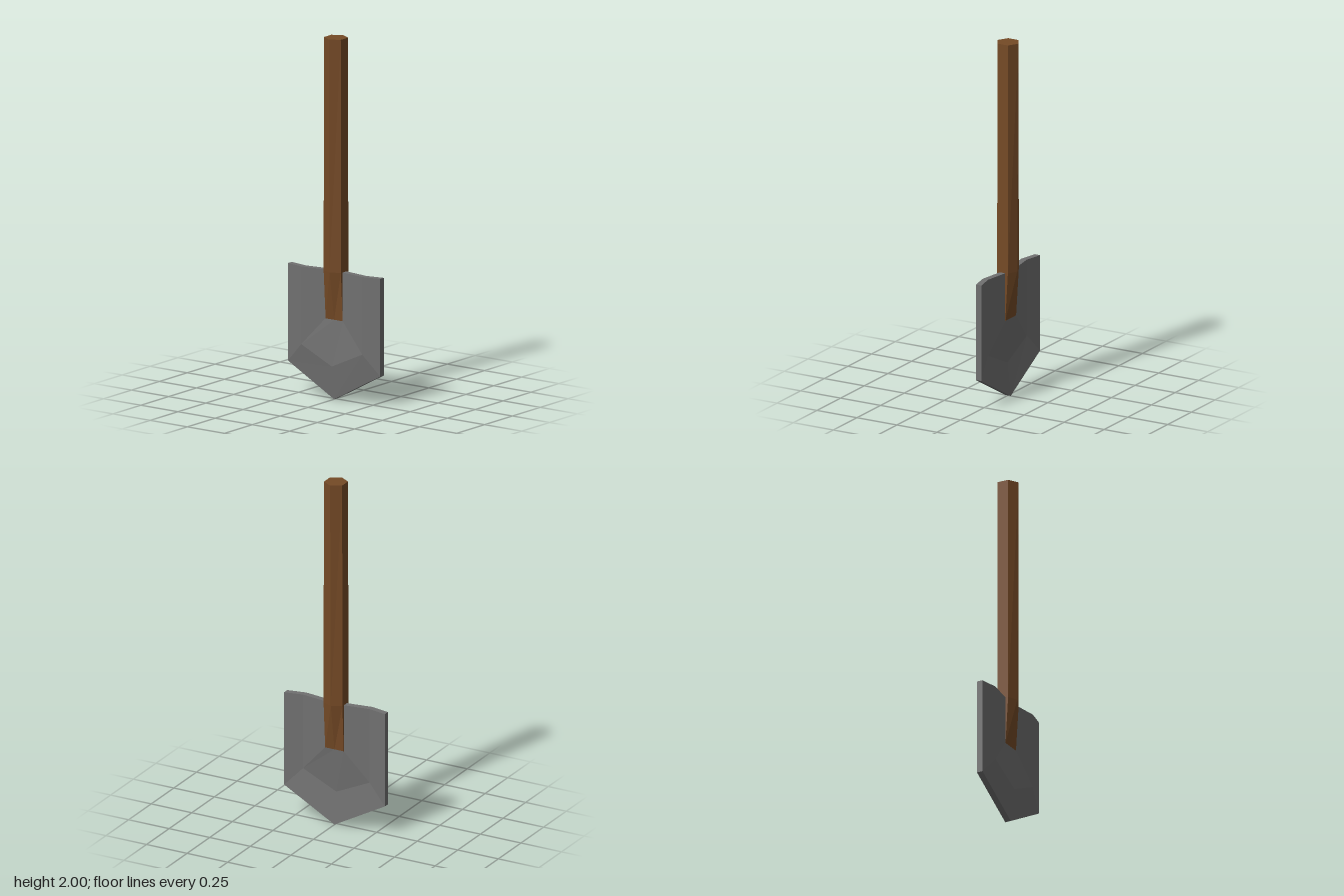
import * as THREE from 'three';

// Blade: half outline points (front skin, mirrored to the other side)
const THICK = 0.034, Z_BACK = -0.018;
const P = [
  [0.058, 0.71, 0], [0.205, 0.71, 0.021], [0.31, 0.71, 0],    // top edge: inner, ridge, outer
  [0, 0.44, 0], [0.058, 0.44, 0],                             // below the handle
  [0.205, 0.28, 0.021], [0.31, 0.17, 0],                      // ridge corner, outer corner
  [0, 0.185, 0.021], [0, 0, 0],                               // ridge middle, tip
];
const FACETS = [[4, 5, 1, 0], [5, 6, 2, 1], [7, 5, 4, 3], [8, 6, 5, 7]];
const RIM = [8, 6, 2, 1, 0, 4, 3];

function bladeGeometry() {
  const out = [];
  const quad = (a, b, c, d) => out.push(...a, ...b, ...c, ...a, ...c, ...d);
  for (const side of [1, -1]) {
    const at = (i, front) => [P[i][0] * side, P[i][1], P[i][2] + Z_BACK + (front ? THICK : 0)];
    const add = (pts) => quad(...(side > 0 ? pts : pts.reverse()));
    for (const f of FACETS) {
      add(f.map((i) => at(i, true)));
      add(f.map((i) => at(i, false)).reverse());
    }
    // rim joining front and back skins
    for (let k = 0; k < RIM.length - 1; k++) {
      const a = RIM[k], b = RIM[k + 1];
      add([at(a, true), at(a, false), at(b, false), at(b, true)]);
    }
  }
  const g = new THREE.BufferGeometry();
  g.setAttribute('position', new THREE.Float32BufferAttribute(out, 3));
  g.computeVertexNormals();
  return g;
}

// Handle: six-sided shaft whose lower end is squeezed flat to the blade's thickness
function handleGeometry() {
  const rows = [
    { y: 0.44, r: 0.066, maxZ: 0.017 },
    { y: 0.71, r: 0.067, maxZ: 0.058 },
    { y: 2, r: 0.065, maxZ: 0.065 },
  ];
  const g = new THREE.CylinderGeometry(1, 1, 2, 6, 2).toNonIndexed();
  const p = g.attributes.position;
  for (let i = 0; i < p.count; i++) {
    const { y, r, maxZ } = rows[Math.round(p.getY(i)) + 1];
    const z = THREE.MathUtils.clamp(p.getZ(i) * r, -maxZ, maxZ);
    p.setXYZ(i, p.getX(i) * r, y, z - 0.001);
  }
  g.computeVertexNormals();
  return g;
}

export function createModel() {
  const group = new THREE.Group();
  group.name = 'shovel';
  const part = (name, geometry, color) => {
    const mesh = new THREE.Mesh(geometry, new THREE.MeshStandardMaterial({ color, flatShading: true }));
    mesh.name = name;
    group.add(mesh);
  };
  part('blade', bladeGeometry(), 0x707070);
  part('handle', handleGeometry(), 0x754a26);
  return group;
}
